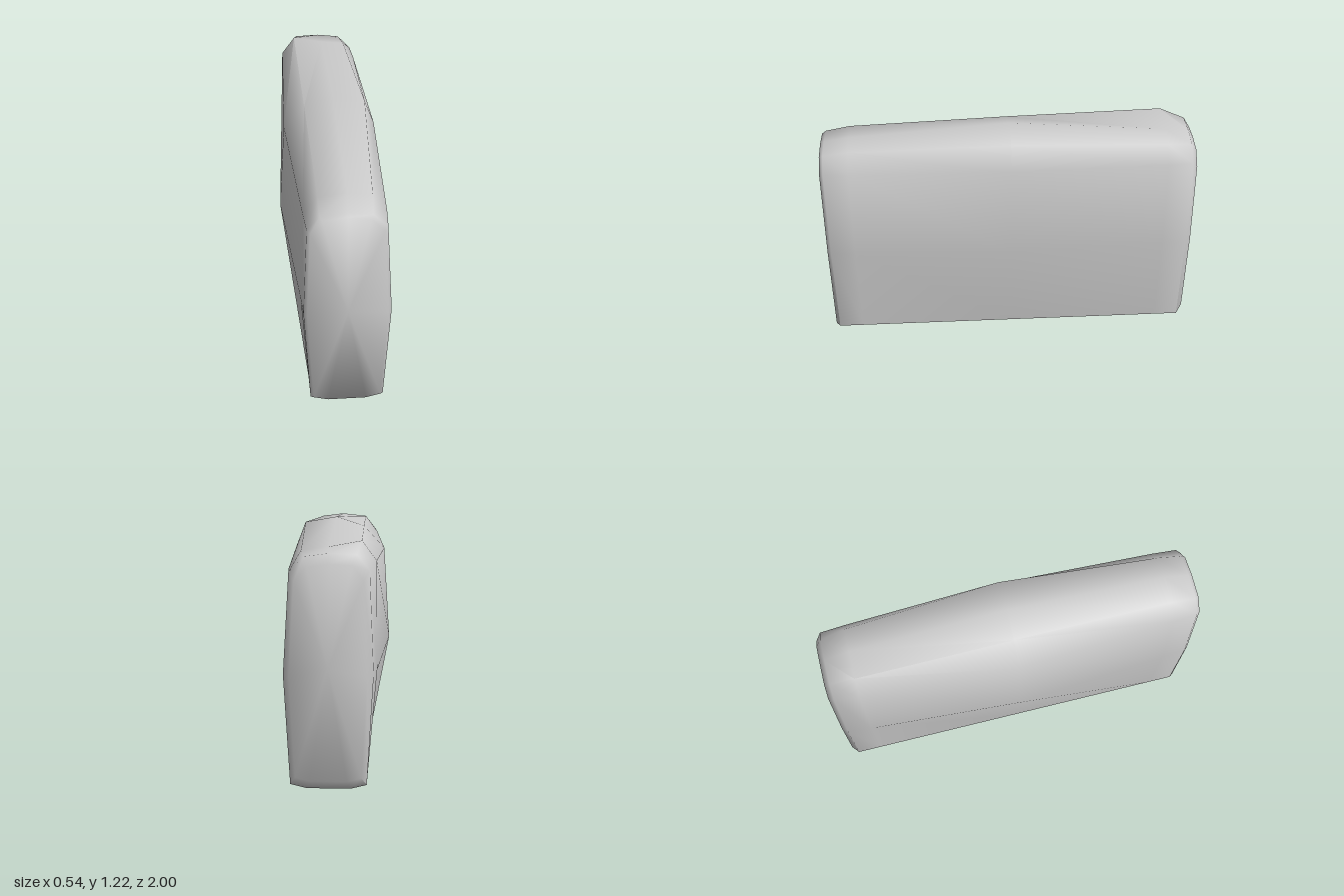
import * as THREE from 'three';
import { toCreasedNormals } from 'three/addons/utils/BufferGeometryUtils.js';

// One cross-section: 11 corners, counter-clockwise seen from the front.
// mid / shoulder / crown hold [left x, right x] and heights for that station.
function section(z, midL, midR, shoulderL, shoulderR, crownL, crownR, peak) {
  return [
    [-0.09, 0], [0.12, 0], [0.2, 0.02],
    [midR, 0.56], shoulderR, crownR, peak, crownL, shoulderL,
    [midL, 0.56], [-0.17, 0.02],
  ].map(([x, y]) => new THREE.Vector3(x, y, z));
}

// Bevelled end ring: a section shrunk about its middle and pushed outwards
function inset(ring, scale, z) {
  return ring.map((p) => new THREE.Vector3(
    0.015 + (p.x - 0.015) * scale, 0.56 + (p.y - 0.56) * (scale + 0.06), z));
}

function loft(rings, frontTip, backTip) {
  const n = rings[0].length;
  const positions = [];
  const index = [];
  rings.flat().concat(frontTip, backTip).forEach((p) => positions.push(p.x, p.y, p.z));
  const front = rings.length * n;
  const last = (rings.length - 1) * n;
  for (let j = 0; j < n; j++) {
    const k = (j + 1) % n;
    for (let i = 0; i < rings.length - 1; i++) {
      const a = i * n, b = a + n;
      index.push(a + j, b + j, a + k, a + k, b + j, b + k);
    }
    index.push(front, j, k, front + 1, last + k, last + j);
  }
  const geometry = new THREE.BufferGeometry();
  geometry.setAttribute('position', new THREE.Float32BufferAttribute(positions, 3));
  geometry.setIndex(index);
  return toCreasedNormals(geometry, 1.1);
}

export function createModel() {
  const group = new THREE.Group();
  group.name = 'stoneBlock';

  // Stations from front to back; the back left crown has a chipped bump
  const front = section(0.97, -0.2, 0.23, [-0.18, 1.05], [0.2, 1.05], [-0.12, 1.12], [0.13, 1.12], [0.01, 1.135]);
  const frontTop = section(0.84, -0.207, 0.235, [-0.19, 1.05], [0.21, 1.05], [-0.12, 1.145], [0.14, 1.145], [0.02, 1.16]);
  const middle = section(0, -0.27, 0.27, [-0.24, 1.05], [0.24, 1.06], [-0.13, 1.17], [0.19, 1.19], [0.02, 1.22]);
  const backTop = section(-0.82, -0.215, 0.235, [-0.21, 1.09], [0.21, 1.05], [-0.14, 1.185], [0.15, 1.14], [0.02, 1.155]);
  const back = section(-0.95, -0.2, 0.23, [-0.18, 1.06], [0.2, 1.05], [-0.12, 1.135], [0.13, 1.125], [0.01, 1.14]);

  const block = new THREE.Mesh(
    loft(
      [inset(front, 0.92, 0.99), front, frontTop, middle, backTop, back, inset(back, 0.86, -0.98)],
      new THREE.Vector3(0.015, 0.58, 1),
      new THREE.Vector3(0.015, 0.6, -1),
    ),
    new THREE.MeshStandardMaterial({ color: 0xcccccc }),
  );
  block.name = 'block';
  group.add(block);
  return group;
}
